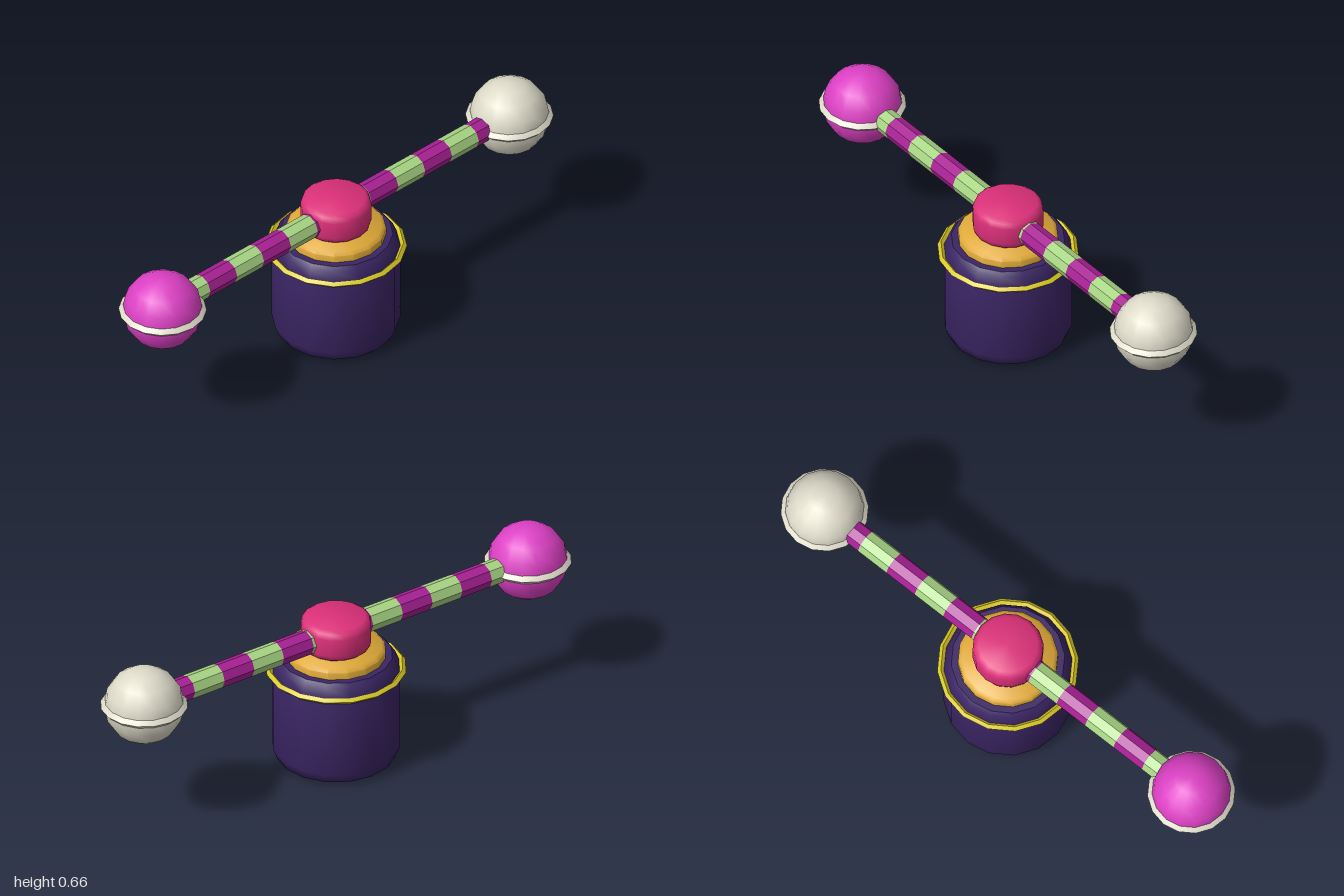
import * as THREE from 'three';
import { toCreasedNormals } from 'three/addons/utils/BufferGeometryUtils.js';

const SIDES = 16;

function material(name, color) {
  const m = new THREE.MeshStandardMaterial({ color });
  m.name = name;
  return m;
}

export function createModel() {
  const group = new THREE.Group();
  const indigo = material('indigo', 0x3a2463);
  const yellow = material('yellow', 0xd8c825);
  const gold = material('gold', 0xe0aa38);
  const pink = material('pink', 0xdc3079);
  const magenta = material('magenta', 0xdc40c4);
  const ivory = material('ivory', 0xdddac9);
  const green = material('green', 0xa9d685);
  const purple = material('purple', 0xa82094);

  function add(name, geometry, mat, x = 0, y = 0) {
    const mesh = new THREE.Mesh(geometry, mat);
    mesh.name = name;
    mesh.position.set(x, y, 0);
    group.add(mesh);
  }

  // Turned solid from a bottom-to-top profile of [radius, y]
  function turned(profile) {
    const points = profile.map(([r, y]) => new THREE.Vector2(r, y));
    return toCreasedNormals(new THREE.LatheGeometry(points, SIDES), 0.85);
  }

  // Horizontal band with a diamond section
  function band(outer, tube) {
    const ring = new THREE.TorusGeometry(outer - tube, tube, 4, SIDES);
    return toCreasedNormals(ring.rotateX(Math.PI / 2), 0.85);
  }

  // Pedestal
  add('base', turned([
    [0, 0], [0.18, 0], [0.215, 0.016], [0.23, 0.055],
    [0.23, 0.368], [0.216, 0.405], [0.203, 0.42], [0, 0.42],
  ]), indigo);
  add('baseTrim', band(0.253, 0.0125), yellow, 0, 0.368);
  add('collar', turned([
    [0, 0.41], [0.179, 0.41], [0.179, 0.446], [0.165, 0.46], [0, 0.46],
  ]), gold);

  // Hub gripping the bar
  add('hub', turned([
    [0, 0.455], [0.108, 0.455], [0.122, 0.467], [0.127, 0.485],
    [0.127, 0.55], [0.121, 0.57], [0.106, 0.58], [0, 0.58],
  ]), pink);

  // Striped bar
  const stripe = 0.1305;
  const segment = new THREE.CylinderGeometry(0.046, 0.046, stripe, 8).rotateZ(Math.PI / 2);
  const facets = toCreasedNormals(segment, 0.5);
  for (let i = 0; i < 12; i++) {
    add('barStripe' + (i + 1), facets, i % 2 ? purple : green, (i - 5.5) * stripe, 0.515);
  }

  // End balls, each with a band around its middle
  const ball = new THREE.SphereGeometry(0.144, SIDES, 8);
  const ballBand = band(0.157, 0.016);
  for (const [side, sign, mat] of [['left', 1, ivory], ['right', -1, magenta]]) {
    add(side + 'Ball', ball, mat, sign * 0.843, 0.512);
    add(side + 'BallBand', ballBand, ivory, sign * 0.843, 0.512);
  }

  return group;
}
